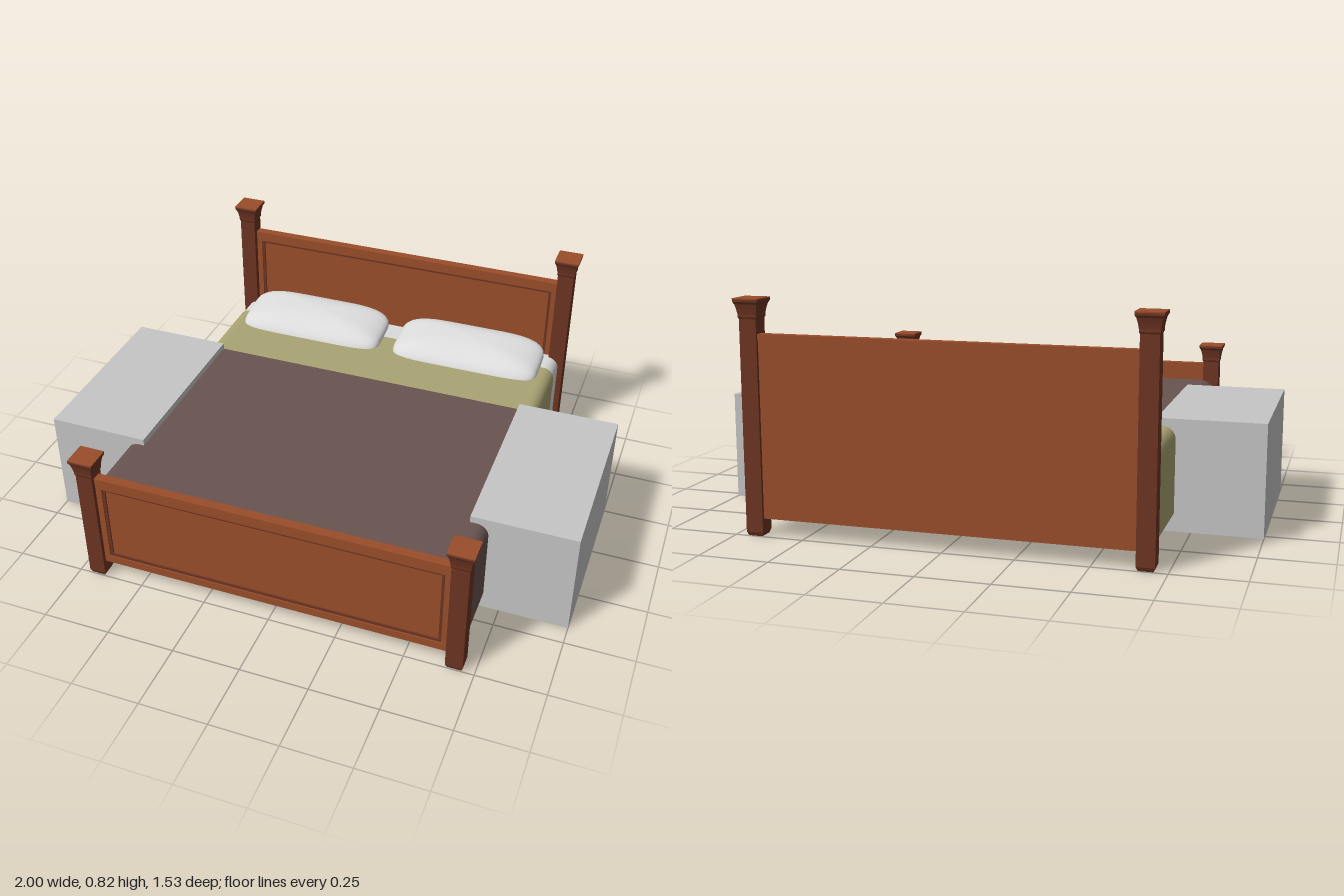
import * as THREE from 'three';

const paint = (name, color, side = THREE.FrontSide) => {
  const m = new THREE.MeshStandardMaterial({ color, side });
  m.name = name;
  return m;
};

export function createModel() {
  const model = new THREE.Group();
  model.name = 'bedWithNightstands';

  const wood = paint('panel wood', 0x9a4e2b);
  const darkWood = paint('post wood', 0x6e3523);
  const brown = paint('blanket brown', 0x695450, THREE.DoubleSide);
  const olive = paint('blanket olive', 0xaaa474, THREE.DoubleSide);
  const white = paint('sheet white', 0xdcdcdc, THREE.DoubleSide);
  const grey = paint('nightstand grey', 0xc6c6c6);

  const add = (name, geometry, material, x = 0, y = 0, z = 0, parent = model) => {
    const mesh = new THREE.Mesh(geometry, material);
    mesh.name = name;
    mesh.position.set(x, y, z);
    parent.add(mesh);
    return mesh;
  };
  const box = (w, h, d) => new THREE.BoxGeometry(w, h, d);

  // Square turned shape from [half width, height] pairs, with hard edges
  const squareLathe = (pairs) => {
    const pts = pairs.map(([r, y]) => new THREE.Vector2(r * Math.SQRT2, y));
    const g = new THREE.LatheGeometry(pts, 4).rotateY(Math.PI / 4).toNonIndexed();
    g.computeVertexNormals();
    return g;
  };

  // Corner posts with chamfered feet and flared caps
  const post = (name, x, z, h) => {
    const group = new THREE.Group();
    group.name = name;
    group.position.set(x, 0, z);
    model.add(group);
    add('postShaft', squareLathe([
      [0, 0], [0.025, 0], [0.031, 0.014], [0.031, h - 0.07], [0.034, h - 0.064],
      [0.034, h - 0.054], [0.037, h - 0.036], [0.041, h - 0.02],
      [0.046, h - 0.012], [0.046, h - 0.003], [0, h - 0.003],
    ]), darkWood, 0, 0, 0, group);
    add('postCapTop', box(0.093, 0.004, 0.093), wood, 0, h - 0.002, 0, group);
  };
  for (const s of [-1, 1]) {
    post('headPost', s * 0.678, -0.72, 0.82);
    post('footPost', s * 0.678, 0.72, 0.525);
  }

  // Rectangular frame with an opening, extruded toward +z
  const frame = (w, y0, y1, iw, iy0, iy1, depth) => {
    const rect = (S, hw, a, b) => {
      const s = new S();
      s.moveTo(-hw, a); s.lineTo(hw, a); s.lineTo(hw, b); s.lineTo(-hw, b); s.closePath();
      return s;
    };
    const shape = rect(THREE.Shape, w, y0, y1);
    shape.holes.push(rect(THREE.Path, iw, iy0, iy1));
    return new THREE.ExtrudeGeometry(shape, { depth, bevelEnabled: false });
  };

  // Headboard and footboard: flat slab, raised frame, inner moulding, top rail
  const board = (name, z, y1, iy1) => {
    const group = new THREE.Group();
    group.name = name;
    group.position.z = z;
    model.add(group);
    const y0 = 0.062, iy0 = 0.092;
    add('panel', box(1.3, y1 - y0 - 0.01, 0.018), wood, 0, (y0 + y1 - 0.01) / 2, -0.004, group);
    add('panelFrame', frame(0.65, y0, y1 - 0.01, 0.625, iy0, iy1, 0.01), wood, 0, 0, 0.005, group);
    add('panelMoulding', frame(0.626, iy0 - 0.001, iy1 + 0.001, 0.614, iy0 + 0.01, iy1 - 0.01, 0.005),
      darkWood, 0, 0, 0.005, group);
    add('topRail', box(1.3, 0.016, 0.034), wood, 0, y1 - 0.008, 0, group);
    add('railLip', box(1.3, 0.012, 0.03), wood, 0, y1 - 0.022, 0.001, group);
  };
  board('headboard', -0.727, 0.7, 0.66);
  board('footboard', 0.72, 0.445, 0.402);

  // Draped covers: a rounded arch profile open underneath
  const drape = (name, material, z0, z1, hw, top) => {
    const r = 0.045, bottom = 0.065, right = [];
    right.push([hw, bottom], [hw, top - r - 0.01]);
    for (let i = 0; i <= 8; i++) {
      const a = (i / 8) * Math.PI / 2;
      right.push([hw - r + r * Math.cos(a), top - r + r * Math.sin(a)]);
    }
    right.push([hw - r - 0.01, top]);
    const profile = [...right.map(([x, y]) => [-x, y]), ...right.slice().reverse()];
    const g = new THREE.PlaneGeometry(1, 1, profile.length - 1, 1);
    const p = g.attributes.position;
    for (let i = 0; i < p.count; i++) {
      const [x, y] = profile[i % profile.length];
      p.setXYZ(i, x, y, i < profile.length ? z0 : z1);
    }
    g.computeVertexNormals();
    add(name, g, material);
  };
  drape('bedSheet', white, -0.705, -0.6, 0.688, 0.37);
  drape('foldedCover', olive, -0.6, -0.28, 0.69, 0.373);
  drape('blanket', brown, -0.28, 0.706, 0.69, 0.375);

  // Pillows: sphere squared off in plan, domed above, tilted up at the back
  const pillowGeometry = () => {
    const g = new THREE.SphereGeometry(1, 48, 24);
    const p = g.attributes.position;
    const soft = (v, e) => Math.sign(v) * Math.abs(v) ** e;
    for (let i = 0; i < p.count; i++) {
      const y = p.getY(i);
      const ring = Math.hypot(p.getX(i), p.getZ(i)) || 1e-6;
      const r = Math.min(1, ring) ** 0.9;
      const x = soft(p.getX(i) / ring, 0.38) * r;
      const z = soft(p.getZ(i) / ring, 0.38) * r;
      const lift = y > 0 ? 0.068 * y ** 0.85 : 0.022 * y;
      p.setXYZ(i, x * 0.303, 0.384 + lift - z * 0.018, z * 0.12 - Math.max(0, lift) * 0.35);
    }
    g.computeVertexNormals();
    return g;
  };
  for (const s of [-1, 1]) {
    add(s > 0 ? 'leftPillow' : 'rightPillow', pillowGeometry(), white, s * 0.332, 0, -0.588);
    // Plain block nightstands
    add(s > 0 ? 'leftNightstand' : 'rightNightstand', box(0.378, 0.4, 0.705), grey, s * 0.811, 0.2, 0.072);
  }

  return model;
}
